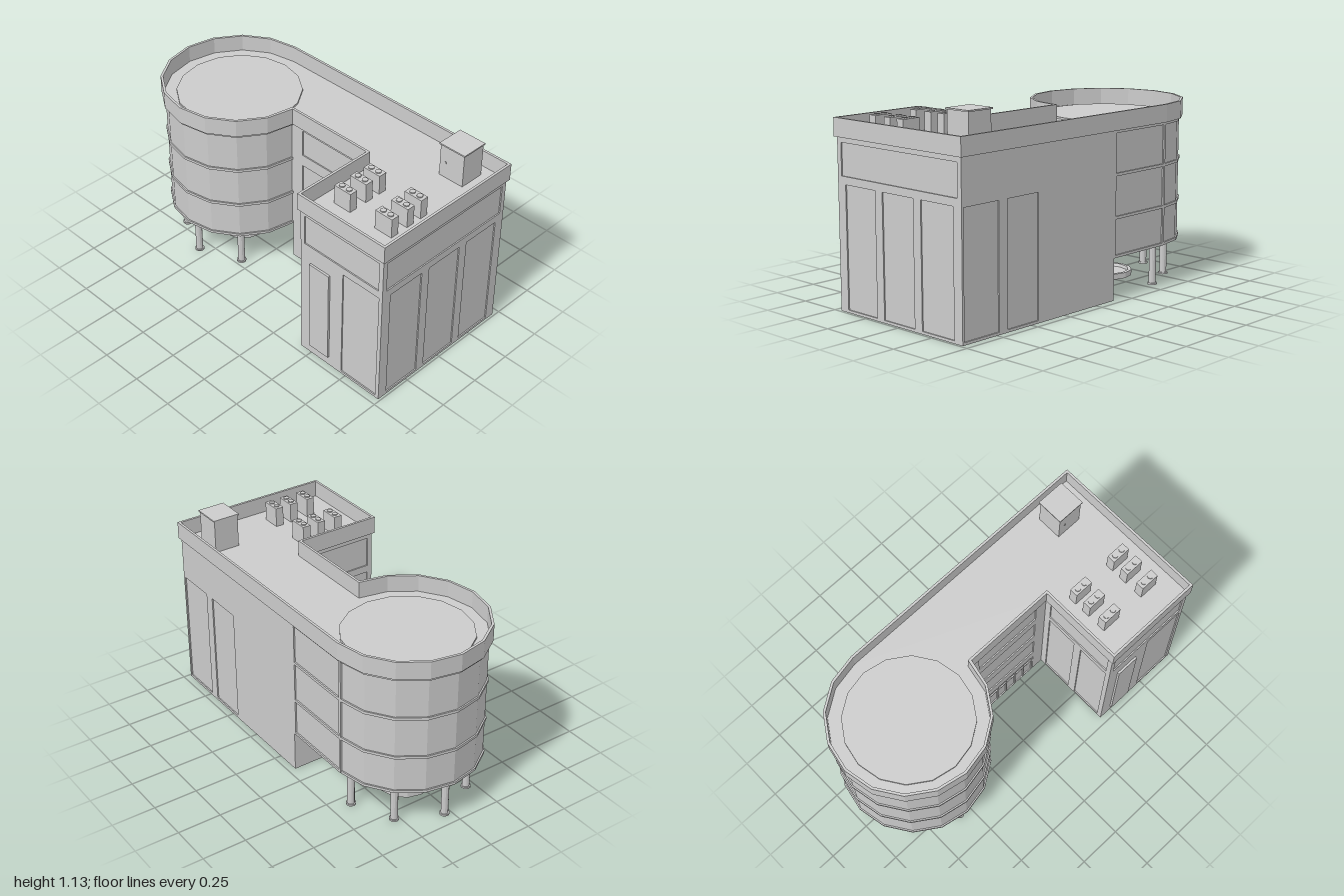
import * as THREE from 'three';

const CX = -0.566, CZ = -0.037, R = 0.422, T = 0.007;
const RIGHT = 0.988, FRONT = 0.459, BACK = CZ - R, WING = 0.422, END = CX + R;
const mat = new THREE.MeshStandardMaterial({ color: 0xcccccc, flatShading: true });

export function createModel() {
  const model = new THREE.Group();

  const add = (name, geo, parent = model) => {
    const m = new THREE.Mesh(geo, mat);
    m.name = name;
    parent.add(m);
    return m;
  };
  const group = (name) => {
    const g = new THREE.Group();
    g.name = name;
    model.add(g);
    return g;
  };
  const box = (name, x0, x1, y0, y1, z0, z1, parent) =>
    add(name, new THREE.BoxGeometry(x1 - x0, y1 - y0, z1 - z0)
      .translate((x0 + x1) / 2, (y0 + y1) / 2, (z0 + z1) / 2), parent);
  const cyl = (name, r, x, y0, y1, z, sides, parent) =>
    add(name, new THREE.CylinderGeometry(r, r, y1 - y0, sides).translate(x, (y0 + y1) / 2, z), parent);
  const poly = (pts) => pts.map(([x, y]) => new THREE.Vector2(x, y));

  // Plan outline (x, z) extruded from y0 to y1; the hole runs the opposite way round
  const slab = (name, pts, y0, y1, hole, parent) => {
    const s = new THREE.Shape(poly(pts));
    if (hole) s.holes.push(new THREE.Path(poly(hole).reverse()));
    const geo = new THREE.ExtrudeGeometry(s, { depth: y1 - y0, bevelEnabled: false });
    return add(name, geo.rotateX(Math.PI / 2).translate(0, y1, 0), parent);
  };

  // Faceted round end, from its back point past the left side in 22.5 degree steps
  const arc = (d, steps) => Array.from({ length: steps + 1 }, (_, i) => {
    const a = -Math.PI / 2 - i * Math.PI / 8;
    return [CX + (R + d) * Math.cos(a), CZ + (R + d) * Math.sin(a)];
  });
  const towerPlan = (d) => [[END + 0.005, BACK - d], ...arc(d, 12), [END + 0.005, CZ]];
  const roofPlan = (d) => [
    [RIGHT + d, BACK - d], ...arc(d, 11), [END + d, CZ + d],
    [WING - d, CZ + d], [WING - d, FRONT + d], [RIGHT + d, FRONT + d],
  ];

  // Rounded upper storeys with raised floor bands
  const tower = group('roundTower');
  slab('towerGlazing', towerPlan(-0.008), 0.236, 0.93, null, tower);
  for (const [y0, y1] of [[0.235, 0.25], [0.447, 0.463], [0.682, 0.698], [0.915, 0.935]])
    slab('floorBand', towerPlan(0), y0, y1, null, tower);
  for (const x of [CX - 0.008, END - 0.012])
    box('backMullion', x, x + 0.015, 0.235, 0.93, BACK, -0.44, tower);

  // L-shaped block, set back behind its wall faces
  slab('blockCore', [
    [END, BACK + T], [RIGHT - T, BACK + T], [RIGHT - T, FRONT - T],
    [WING + T, FRONT - T], [WING + T, CZ - T], [END, CZ - T],
  ], 0, 0.93);

  // Wall face with recessed panels; u runs to the right seen from outside
  const wall = (name, angle, dist, u0, u1, holes) => {
    const s = new THREE.Shape(poly([[u0, 0], [u1, 0], [u1, 0.935], [u0, 0.935]]));
    for (const [a, b, y0, y1] of holes)
      s.holes.push(new THREE.Path(poly([[a, y0], [a, y1], [b, y1], [b, y0]])));
    add(name, new THREE.ExtrudeGeometry(s, { depth: T, bevelEnabled: false })
      .translate(0, 0, dist - T).rotateY(angle));
  };
  const tall = (a, b) => [a, b, 0.015, 0.683];
  const high = (a, b) => [a, b, 0.726, 0.902];
  wall('rightWall', Math.PI / 2, RIGHT, -FRONT, -BACK,
    [high(-0.43, 0.43), tall(-0.4, -0.17), tall(-0.115, 0.115), tall(0.17, 0.4)]);
  wall('backWall', Math.PI, -BACK, -RIGHT, -END, [tall(-0.975, -0.735), tall(-0.675, -0.45)]);
  wall('wingFrontWall', 0, FRONT, WING, RIGHT, [high(0.45, 0.96), tall(0.72, 0.965)]);
  wall('wingSideWall', -Math.PI / 2, -WING, CZ, FRONT,
    [high(0, 0.43), tall(0, 0.19), tall(0.24, 0.43)]);
  wall('linkWall', 0, CZ, END, WING, [
    [-0.07, 0.35, 0.75, 0.91], [-0.07, 0.35, 0.51, 0.68],
    [-0.07, 0.35, 0.26, 0.43], [-0.07, 0.35, 0.006, 0.19],
  ]);
  box('frontPanel', 0.494, 0.632, 0.058, 0.62, 0.45, 0.471);

  // Entrance framing under the link
  const entrance = group('entrance');
  box('transom', -0.07, 0.35, 0.14, 0.15, -0.05, CZ, entrance);
  for (let i = 0; i < 7; i++) {
    const x = -0.065 + i * 0.068;
    box('doorFrame', x - 0.004, x + 0.004, 0, 0.19, -0.05, CZ, entrance);
  }

  // Roof, parapet and round roof panel
  slab('roof', roofPlan(0), 0.93, 0.936);
  slab('parapet', roofPlan(0.012), 0.93, 1.03, roofPlan(-0.002));
  cyl('roundRoofPanel', 0.35, CX, 0.936, 0.947, CZ, 16);

  // Rooftop equipment
  const equipment = group('rooftopEquipment');
  box('stairHouse', 0.718, 0.873, 0.936, 1.126, -0.393, -0.245, equipment);
  box('stairHouseCap', 0.712, 0.879, 1.126, 1.134, -0.399, -0.239, equipment);
  box('stairHouseHandle', 0.755, 0.762, 1.025, 1.035, -0.246, -0.241, equipment);
  for (const x of [0.563, 0.841])
    for (const z of [0.074, 0.172, 0.285]) {
      box('coolingUnit', x - 0.055, x + 0.055, 0.936, 1.048, z - 0.024, z + 0.024, equipment);
      for (const dx of [-0.024, 0.024])
        cyl('coolingFan', 0.016, x + dx, 1.048, 1.054, z, 8, equipment);
    }

  // Columns beneath the tower
  const columns = group('columns');
  for (const [dx, dz] of [[0.248, 0.248], [0, 0.35], [-0.234, 0.238], [-0.35, 0], [-0.234, -0.242], [0, -0.35]]) {
    const x = CX + dx, z = CZ + dz;
    cyl('columnShaft', 0.02, x, 0, 0.236, z, 12, columns);
    cyl('columnBase', 0.027, x, 0, 0.01, z, 12, columns);
    cyl('columnCap', 0.027, x, 0.225, 0.236, z, 12, columns);
  }

  // Fountain basin with a small raised dish
  const fountain = group('fountain');
  const lathe = (name, pts) =>
    add(name, new THREE.LatheGeometry(poly(pts), 12).translate(CX, 0, CZ), fountain);
  lathe('basin', [[0, 0], [0.155, 0], [0.155, 0.032], [0.135, 0.032], [0.13, 0.015], [0, 0.015]]);
  lathe('dish', [[0, 0.01], [0.012, 0.01], [0.012, 0.06], [0.045, 0.068], [0.045, 0.074],
    [0.012, 0.068], [0.008, 0.09], [0, 0.09]]);

  return model;
}
